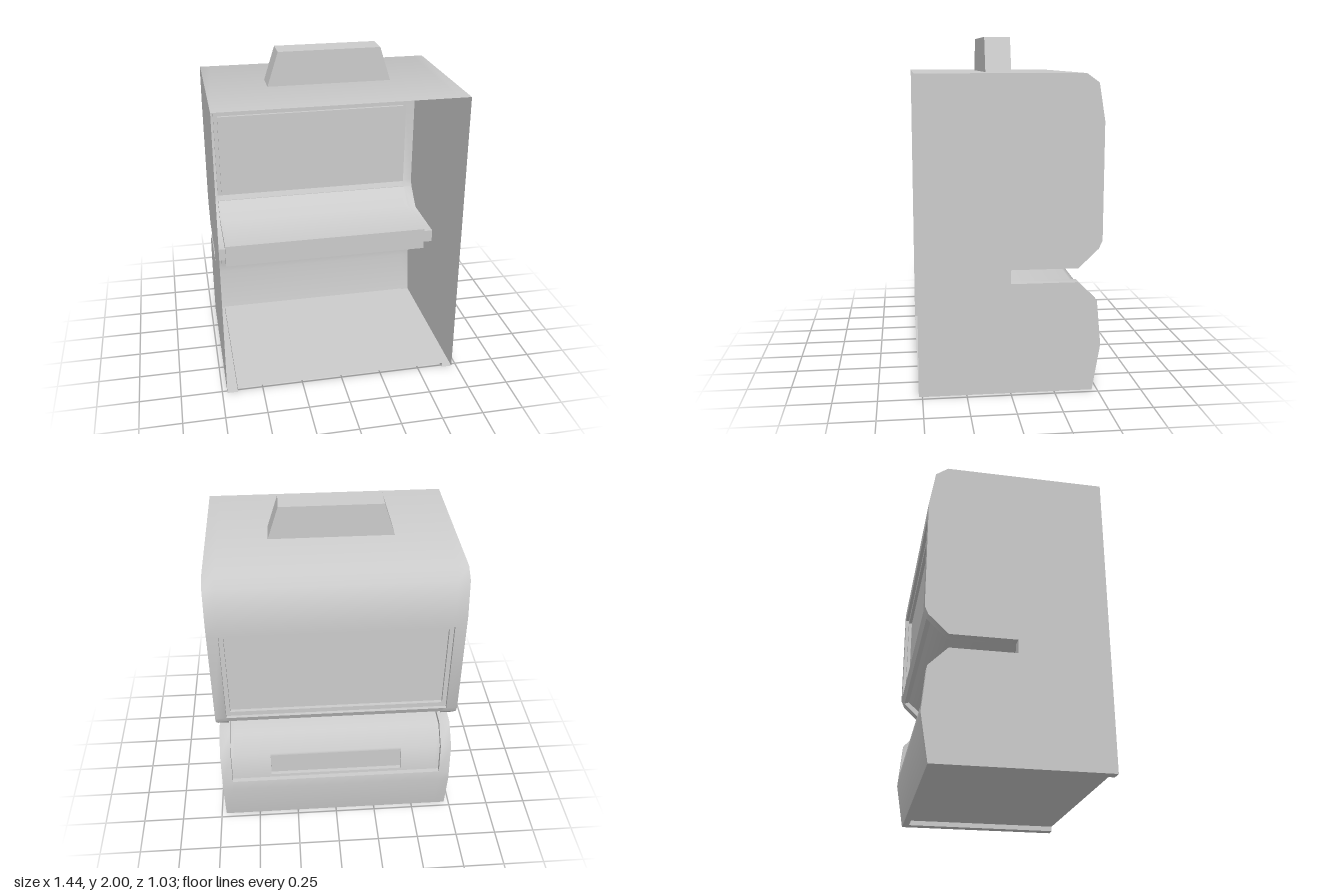
import * as THREE from 'three';
import { mergeGeometries, toCreasedNormals } from 'three/addons/utils/BufferGeometryUtils.js';

const material = new THREE.MeshStandardMaterial({ color: 0xcccccc, side: THREE.DoubleSide });

// Half-widths of the casing and of the nested recesses
const CASE = 0.72, PANEL = 0.655, SCREEN = 0.63, PLATE = 0.41;

// All outlines are [z, y], running from the open front under the floor, up the curved wall, over the top
const floorFull = [[0.52, 0], [-0.43, 0]];
const floorRecess = [[0.52, 0.03], [-0.43, 0.03], [-0.43, 0]];
const base = [[-0.47, 0], [-0.515, 0.27], [-0.509, 0.33]];
const slot = [[-0.49, 0.53], [-0.38, 0.64], [0, 0.64], [0, 0.72], [-0.38, 0.72], [-0.495, 0.83]];
const plateRecess = [[-0.478, 0.35], [-0.455, 0.35], [-0.455, 0.5], [-0.4635, 0.5]];
const slotRecess = (plate) => [
  [-0.48, 0.33], ...plate, [-0.462, 0.515], [-0.367, 0.61], [0.03, 0.61],
  [0.03, 0.75], [-0.367, 0.75], [-0.468, 0.845],
];
const lip = [[-0.497, 0.835], [-0.515, 0.875]];
const screenRecess = [[-0.495, 0.905], [-0.475, 0.905], [-0.475, 1.44], [-0.495, 1.44]];
const frameRecess = (screen) => [[-0.495, 0.875], ...screen, [-0.495, 1.47]];
const crown = [[-0.515, 1.47], [-0.515, 1.54], [-0.48, 1.75], [-0.41, 1.8], [0.52, 1.8]];

const outer = [...floorFull, ...base, ...slot, ...lip, ...crown];
const recessed = (plate, screen) =>
  [...floorRecess, ...base, ...slotRecess(plate), ...lip, ...frameRecess(screen), ...crown];

// Sweeps an outline sideways from x0 to x1
function strip(outline, x0, x1) {
  const p = [];
  for (let i = 0; i + 1 < outline.length; i++) {
    const [za, ya] = outline[i], [zb, yb] = outline[i + 1];
    p.push(x1, ya, za, x0, ya, za, x0, yb, zb);
    p.push(x1, ya, za, x0, yb, zb, x1, yb, zb);
  }
  const g = new THREE.BufferGeometry();
  g.setAttribute('position', new THREE.Float32BufferAttribute(p, 3));
  return g;
}

function addMesh(parent, name, geometry) {
  const mesh = new THREE.Mesh(geometry, material);
  mesh.name = name;
  parent.add(mesh);
  return mesh;
}

const toShape = (pts) => new THREE.Shape(pts.map(([a, b]) => new THREE.Vector2(a, b)));

// Mirrored pair of upright faces at x = +-halfWidth
function addSidePair(parent, name, outline, halfWidth) {
  const geometry = new THREE.ShapeGeometry(toShape(outline)).rotateY(-Math.PI / 2);
  for (const side of [-1, 1]) {
    addMesh(parent, name + (side > 0 ? 'Left' : 'Right'), geometry).position.x = side * halfWidth;
  }
}

export function createModel() {
  const model = new THREE.Group();
  model.name = 'cabinet';

  // Wrapped casing, its recesses deepening toward the middle
  const rim = outer, panel = recessed([], []), screen = recessed([], screenRecess);
  const strips = [strip(recessed(plateRecess, screenRecess), -PLATE, PLATE)];
  for (const [outline, a, b] of [[rim, PANEL, CASE], [panel, SCREEN, PANEL], [screen, PLATE, SCREEN]]) {
    strips.push(strip(outline, a, b), strip(outline, -b, -a));
  }
  addMesh(model, 'casing', toCreasedNormals(mergeGeometries(strips), THREE.MathUtils.degToRad(50)));

  // Outer side walls
  addSidePair(model, 'sideWall', outer, CASE);

  // End faces closing each recess
  addSidePair(model, 'floorRecessEnd', [...floorFull, ...floorRecess.slice(0, 2).reverse()], PANEL);
  addSidePair(model, 'slotRecessEnd', [base[2], ...slot, lip[0], ...slotRecess([]).reverse()], PANEL);
  addSidePair(model, 'frameRecessEnd', [lip[1], crown[0], ...frameRecess([]).reverse()], PANEL);
  addSidePair(model, 'screenRecessEnd', screenRecess, SCREEN);
  addSidePair(model, 'plateRecessEnd', plateRecess, PLATE);

  // Tapered handle passing through the top
  const handle = new THREE.ExtrudeGeometry(
    toShape([[-0.4, 1.69], [0.4, 1.69], [0.3, 2], [-0.3, 2]]), { depth: 0.15, bevelEnabled: false });
  addMesh(model, 'handle', handle).position.z = -0.045;

  return model;
}
